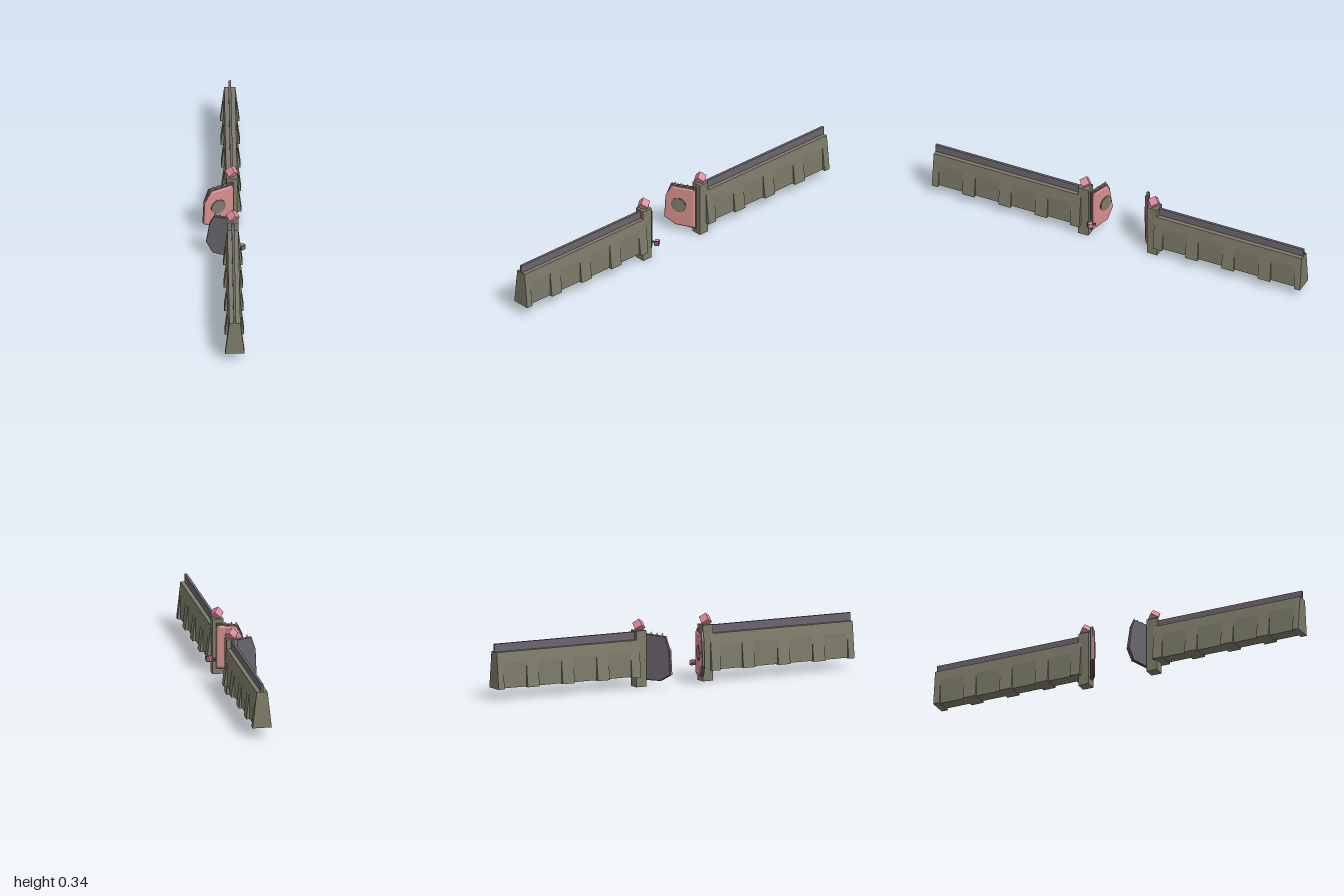
import * as THREE from 'three';

const mat = (name, color) => new THREE.MeshStandardMaterial({ name, color });

export function createModel() {
  const olive = mat('olive', 0x7c7b69);
  const gray = mat('slate gray', 0x6a656d);
  const rose = mat('rose pink', 0xdc8a9a);
  const salmon = mat('salmon pink', 0xd58f8c);

  const model = new THREE.Group();
  model.name = 'gateAndWalls';
  const CX = 0.039; // centre line of walls and posts

  const add = (parent, name, geo, material, x = 0, y = 0, z = 0) => {
    const m = new THREE.Mesh(geo, material);
    m.name = name;
    m.position.set(x, y, z);
    parent.add(m);
    return m;
  };
  const box = (w, h, d) => new THREE.BoxGeometry(w, h, d);
  const polygon = (pts) => new THREE.Shape(pts.map(([x, y]) => new THREE.Vector2(x, y)));
  const faceted = (geo) => {
    const g = geo.toNonIndexed();
    g.computeVertexNormals();
    return g;
  };
  const slab = (pts, depth) => new THREE.ExtrudeGeometry(polygon(pts), { depth, bevelEnabled: false });
  // plate whose rims slope inwards on both sides
  const bevelled = (pts, depth, bevel, inset) => {
    const g = new THREE.ExtrudeGeometry(polygon(pts), {
      depth: depth - 2 * bevel, bevelThickness: bevel, bevelSize: inset,
      bevelOffset: -inset, bevelSegments: 1,
    });
    return g.translate(0, 0, bevel - depth / 2);
  };

  // wall and buttress cross-sections, left and right alike
  const wallProfile = [[-0.0335, 0.055], [0.0335, 0.055], [0.0335, 0.18], [0.027, 0.235], [-0.027, 0.235], [-0.0335, 0.18]];
  const buttressProfile = [[-0.048, 0.052], [0.048, 0.052], [0.0272, 0.234], [-0.0272, 0.234]];
  const buttressSpans = [[0.2, 0.25], [0.376, 0.442], [0.573, 0.639], [0.77, 0.836], [0.967, 1]];

  for (const side of [1, -1]) {
    const wall = new THREE.Group();
    wall.name = side > 0 ? 'frontWall' : 'rearWall';
    model.add(wall);

    const along = (name, profile, a, b) =>
      add(wall, name, slab(profile, b - a), olive, CX, 0, side > 0 ? a : -b);
    along('wallBody', wallProfile, 0.2, 0.999);
    for (const [a, b] of buttressSpans) along('buttress', buttressProfile, a, b);

    add(wall, 'topRail', box(0.013, 0.045, 0.79), gray, CX, 0.252, side * 0.605);
    add(wall, 'gatePost', box(0.055, 0.28, 0.056), olive, CX, 0.14, side * 0.187);

    // tilted cube on the post
    const cube = add(wall, 'postCube', box(0.04, 0.04, 0.04), rose, CX, 0.303, side * 0.187);
    cube.rotation.set(0.7, 0, Math.PI / 4, 'ZYX');
  }

  // gate leaves: local x runs from hinge to tip, pink faces look into the gap
  const leaves = [
    {
      name: 'frontLeaf', side: 1, x: 0.05, z: 0.15, angle: Math.PI - 0.32,
      outline: [[0, 0.03], [0.112, 0.037], [0.147, 0.095], [0.129, 0.215], [0.106, 0.26], [0, 0.262]],
      panel: [[0.004, 0.036], [0.11, 0.039], [0.145, 0.096], [0.124, 0.208], [0.1, 0.25], [0.004, 0.252]],
      spikes: [0.045, 0.077, 0.1],
    },
    {
      name: 'rearLeaf', side: -1, x: 0.045, z: -0.155, angle: Math.PI + 0.454,
      outline: [[0, 0.03], [0.105, 0.033], [0.165, 0.066], [0.159, 0.192], [0.134, 0.258], [0, 0.262]],
      panel: [[0.004, 0.036], [0.107, 0.035], [0.166, 0.068], [0.16, 0.19], [0.122, 0.25], [0.004, 0.252]],
      spikes: [0.045, 0.08, 0.112],
    },
  ];
  for (const l of leaves) {
    const leaf = new THREE.Group();
    leaf.name = l.name;
    leaf.position.set(l.x, 0, l.z);
    leaf.rotation.y = l.angle;
    model.add(leaf);

    add(leaf, 'leafBody', bevelled(l.outline, 0.016, 0.003, 0.003), gray, 0, 0, -l.side * 0.003);
    add(leaf, 'leafPanel', bevelled(l.panel, 0.016, 0.005, 0.008), salmon, 0, 0, l.side * 0.005);

    // round boss with a dark rim
    const disc = (name, r, h, material) => {
      const g = faceted(new THREE.CylinderGeometry(r, r, h, 14)).rotateX(Math.PI / 2);
      add(leaf, name, g, material, 0.088, 0.152, l.side * 0.013);
    };
    disc('bossRim', 0.04, 0.004, gray);
    disc('boss', 0.035, 0.006, olive);

    for (const u of l.spikes) {
      const cone = faceted(new THREE.ConeGeometry(0.009, 0.018, 4));
      add(leaf, 'spike', cone, salmon, u, 0.265, 0);
    }
  }

  // latch beside the front post
  const latch = new THREE.Group();
  latch.name = 'latch';
  latch.position.set(0.085, 0.085, 0.14);
  latch.rotation.y = 0.6;
  model.add(latch);
  add(latch, 'latchBlock', box(0.023, 0.022, 0.018), rose, 0, 0, -0.002);
  add(latch, 'latchPlate', box(0.024, 0.026, 0.007), gray, 0, 0, 0.01);
  add(latch, 'latchArm', box(0.008, 0.012, 0.034), gray, -0.008, -0.004, -0.012);
  add(latch, 'latchPin', box(0.036, 0.01, 0.008), gray, -0.024, -0.004, -0.006);

  return model;
}
